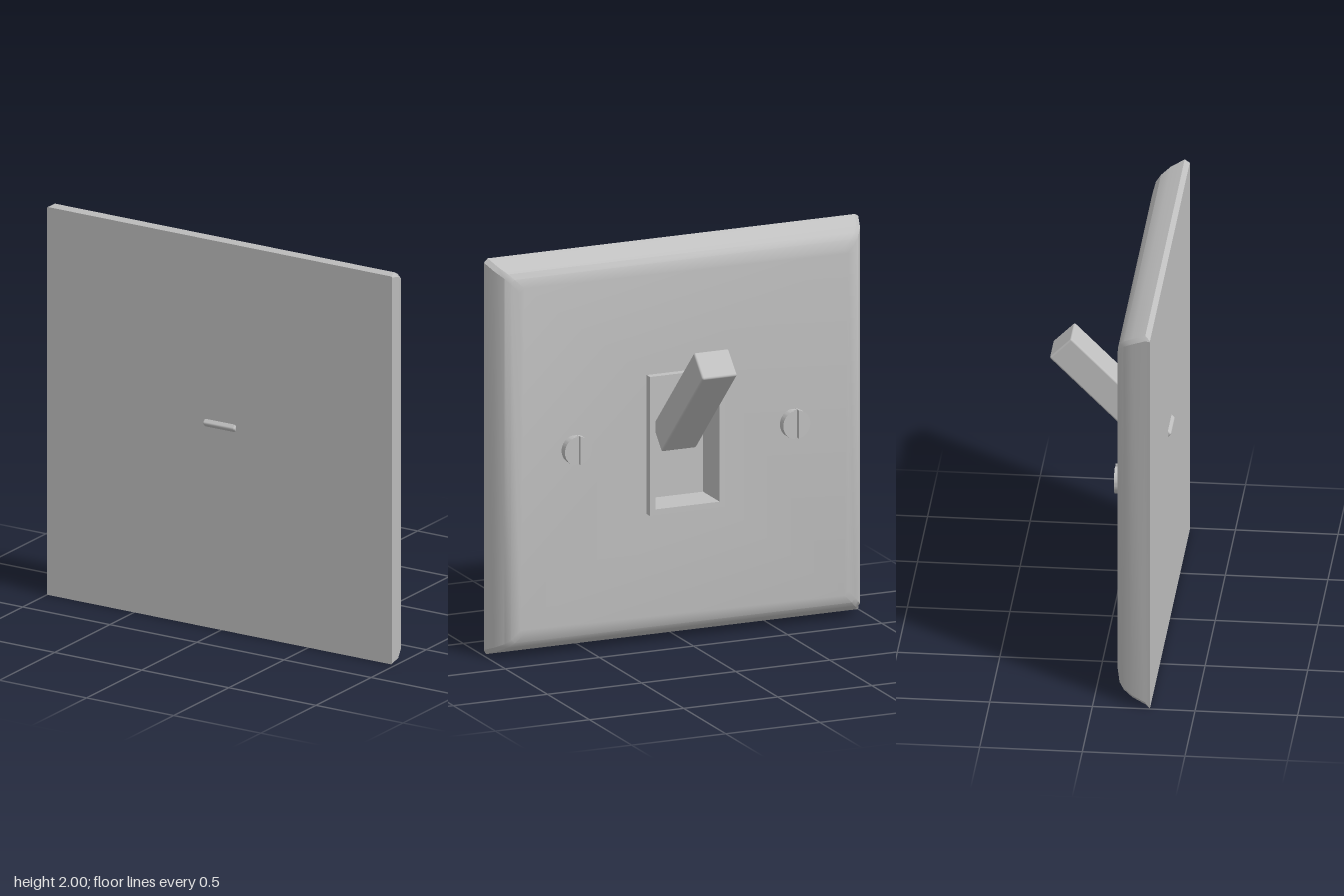
import * as THREE from 'three';
import { mergeGeometries, toCreasedNormals } from 'three/addons/utils/BufferGeometryUtils.js';
import { RoundedBoxGeometry } from 'three/addons/geometries/RoundedBoxGeometry.js';

const FACE_Z = 0.11, BACK_Z = 0.28, FRONT_Z = 0.07;

// rectangle with cut corners, counter-clockwise
function cutRect(x0, x1, y0, y1, c) {
  return [
    [x0 + c, y0], [x1 - c, y0], [x1, y0 + c], [x1, y1 - c],
    [x1 - c, y1], [x0 + c, y1], [x0, y1 - c], [x0, y0 + c],
  ].map(([x, y]) => new THREE.Vector2(x, y));
}

// rectangular hole for the rocker housing
const opening = (hw, y0, y1) => new THREE.Path([
  new THREE.Vector2(-hw, y0), new THREE.Vector2(-hw, y1),
  new THREE.Vector2(hw, y1), new THREE.Vector2(hw, y0),
]);

function plain(geometry) {
  const g = geometry.index ? geometry.toNonIndexed() : geometry;
  g.deleteAttribute('uv');
  return g;
}

// bevelled wall plate: stacked outlines, closed back, pierced face
function plateGeometry() {
  const loops = [
    [BACK_Z, cutRect(-1, 0.98, 0, 1.985, 0.004)],
    [0.255, cutRect(-0.99, 1, 0.01, 2, 0.02)],
    [0.19, cutRect(-0.97, 0.975, 0.035, 1.97, 0.02)],
    [0.145, cutRect(-0.94, 0.94, 0.06, 1.94, 0.02)],
    [0.123, cutRect(-0.915, 0.915, 0.085, 1.915, 0.02)],
    [FACE_Z, cutRect(-0.87, 0.87, 0.13, 1.87, 0.02)],
  ];
  const pos = [];
  for (let k = 0; k < loops.length - 1; k++) {
    const [za, a] = loops[k], [zb, b] = loops[k + 1];
    for (let i = 0; i < a.length; i++) {
      const j = (i + 1) % a.length;
      const A = [a[i].x, a[i].y, za], A2 = [a[j].x, a[j].y, za];
      const B = [b[i].x, b[i].y, zb], B2 = [b[j].x, b[j].y, zb];
      pos.push(...B, ...B2, ...A2, ...B, ...A2, ...A);
    }
  }
  const rim = new THREE.BufferGeometry();
  rim.setAttribute('position', new THREE.Float32BufferAttribute(pos, 3));
  rim.computeVertexNormals();

  const back = new THREE.ShapeGeometry(new THREE.Shape(loops[0][1])).translate(0, 0, BACK_Z);
  const faceShape = new THREE.Shape(loops[loops.length - 1][1]);
  faceShape.holes.push(opening(0.185, 0.675, 1.345));
  const face = new THREE.ShapeGeometry(faceShape).rotateY(Math.PI).translate(0, 0, FACE_Z);
  return toCreasedNormals(mergeGeometries([rim, plain(back), plain(face)]), 0.55);
}

// half of a slotted screw head
function screwHalfGeometry(r, gap) {
  const a = Math.acos(gap / r);
  const shape = new THREE.Shape();
  shape.absarc(0, 0, r, -a, a, false);
  const g = new THREE.ExtrudeGeometry(shape, { depth: FACE_Z - FRONT_Z, bevelEnabled: false, curveSegments: 16 });
  return toCreasedNormals(g, 0.6);
}

export function createModel() {
  const group = new THREE.Group();
  group.name = 'lightSwitch';
  const grey = new THREE.MeshStandardMaterial({ color: 0xc0c0c0 });
  grey.name = 'grey';

  function add(name, geometry, x = 0, y = 0, z = 0, parent = group) {
    const mesh = new THREE.Mesh(geometry, grey);
    mesh.name = name;
    mesh.position.set(x, y, z);
    parent.add(mesh);
    return mesh;
  }

  add('wallPlate', plateGeometry());

  // rectangular housing around the toggle, with a recessed floor
  const frame = new THREE.Shape([
    new THREE.Vector2(-0.2, 0.66), new THREE.Vector2(0.2, 0.66),
    new THREE.Vector2(0.2, 1.36), new THREE.Vector2(-0.2, 1.36),
  ]);
  frame.holes.push(opening(0.17, 0.69, 1.33));
  add('toggleHousing', new THREE.ExtrudeGeometry(frame, { depth: 0.2, bevelEnabled: false }), 0, 0, FRONT_Z);
  add('housingFloor', new THREE.BoxGeometry(0.36, 0.66, 0.006), 0, 1.01, 0.27);

  // tilted toggle whose lower end pokes through the back
  const toggle = add('toggle', new RoundedBoxGeometry(0.185, 0.695, 0.152, 2, 0.01), -0.0075, 1.2375, 0);
  toggle.rotation.x = -Math.PI / 4;

  // slotted fixing screws
  const half = screwHalfGeometry(0.072, 0.011);
  for (const side of [-1, 1]) {
    const screw = new THREE.Group();
    screw.name = side > 0 ? 'leftScrew' : 'rightScrew';
    screw.position.set(side * 0.58, 1.03, FRONT_Z);
    group.add(screw);
    add('screwHalf', half, 0, 0, 0, screw);
    add('screwHalf', half, 0, 0, 0, screw).rotation.z = Math.PI;
    add('slotFloor', new THREE.BoxGeometry(0.024, 0.14, 0.02), 0, 0, 0.03, screw);
  }
  return group;
}
